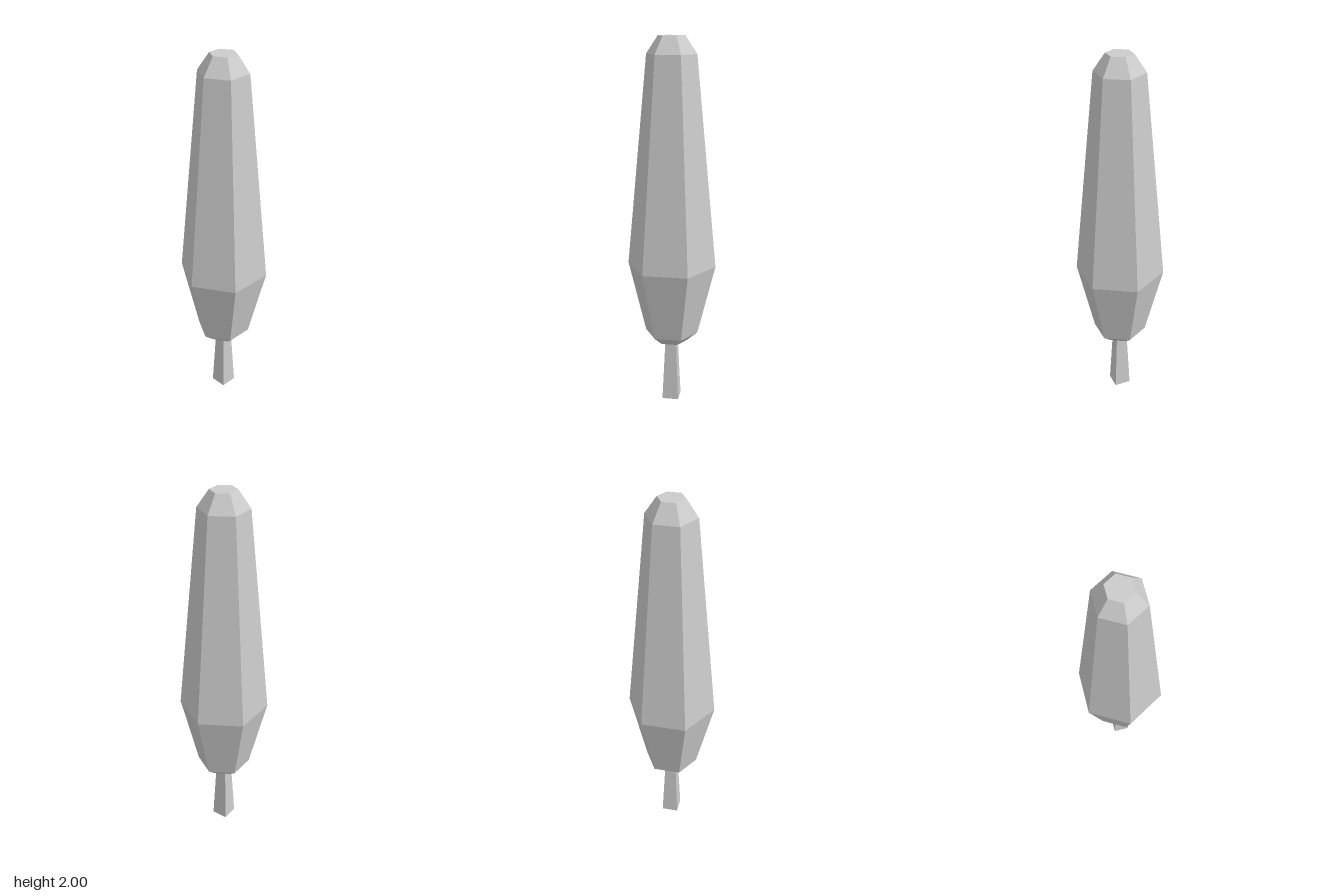
import * as THREE from 'three';

export function createModel() {
  const tree = new THREE.Group();
  tree.name = 'tree';
  const material = new THREE.MeshStandardMaterial({ color: 0xcccccc, flatShading: true });

  // Tall six-sided crown, corners pointing to the front and back
  const profile = [
    [0, 0.35], [0.087, 0.35], [0.145, 0.4], [0.24, 0.79],
    [0.131, 1.91], [0.07, 2], [0, 2],
  ].map(([r, y]) => new THREE.Vector2(r, y));
  const crown = new THREE.Mesh(new THREE.LatheGeometry(profile, 6), material);
  crown.name = 'crown';
  tree.add(crown);

  // Square trunk, narrowing towards the crown
  const trunkHeight = 0.35;
  const trunkGeometry = new THREE.CylinderGeometry(
    0.03 * Math.SQRT2, 0.045 * Math.SQRT2, trunkHeight, 4);
  trunkGeometry.rotateY(Math.PI / 4).translate(0, trunkHeight / 2, 0);
  const trunk = new THREE.Mesh(trunkGeometry, material);
  trunk.name = 'trunk';
  tree.add(trunk);

  return tree;
}
